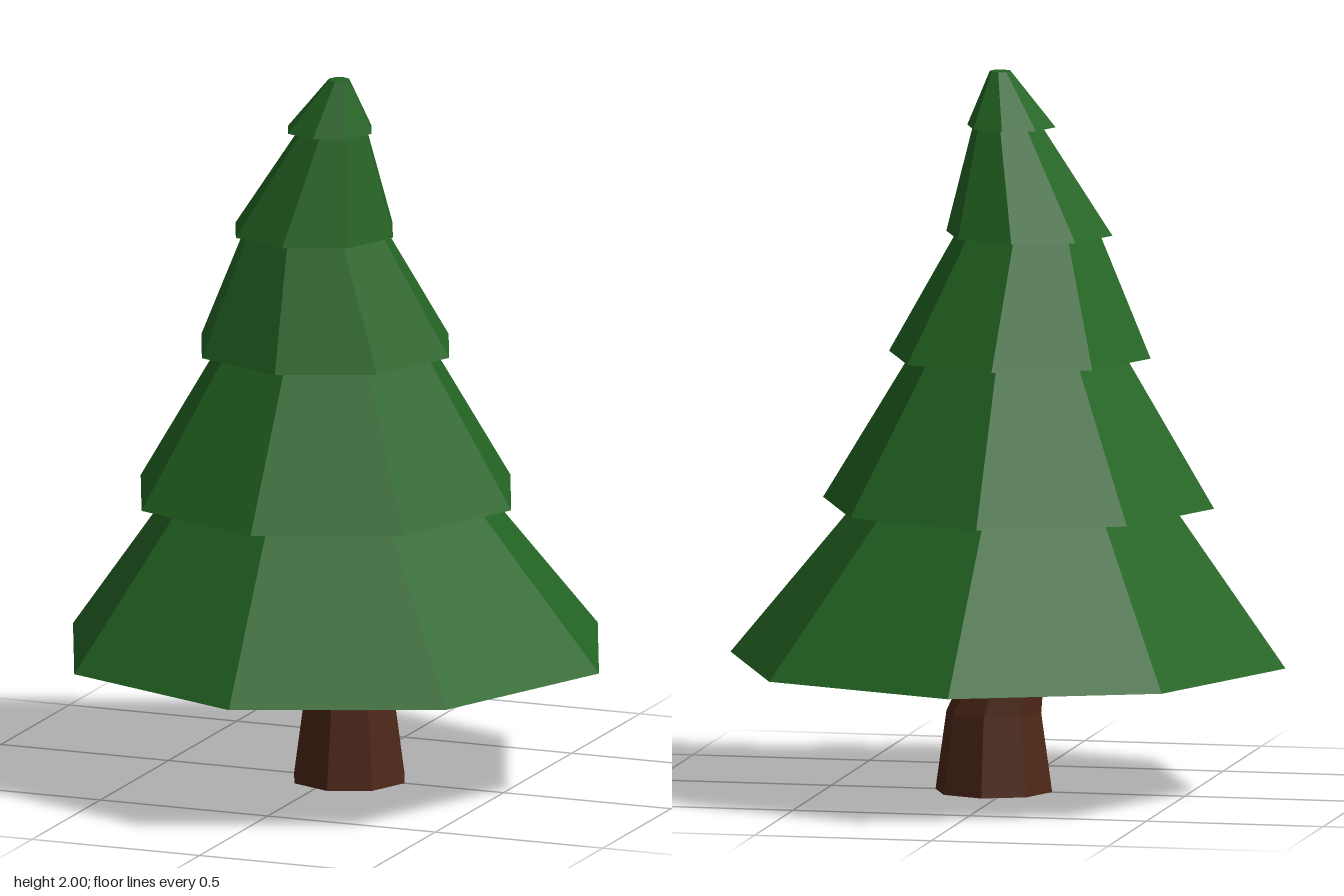
import * as THREE from 'three';

const SIDES = 8;

// Skin a closed, faceted solid over octagonal rings [y, radius, centreX, centreZ], bottom to top.
function loft(rings) {
  const first = rings[0], last = rings[rings.length - 1];
  const all = [
    [first[0], 0, first[2], first[3]],
    ...rings,
    [last[0], 0, last[2], last[3]],
  ];
  const point = ([y, r, x, z], j) => {
    const a = (j / SIDES) * Math.PI * 2;
    return [x + r * Math.sin(a), y, z + r * Math.cos(a)];
  };
  const positions = [];
  for (let i = 0; i < all.length - 1; i++) {
    const low = all[i], high = all[i + 1];
    for (let j = 0; j < SIDES; j++) {
      const a = point(low, j), b = point(low, j + 1);
      const c = point(high, j + 1), d = point(high, j);
      if (low[1] > 0) positions.push(...a, ...b, ...c);
      if (high[1] > 0) positions.push(...a, ...c, ...d);
      else if (low[1] === 0) positions.push(...a, ...c, ...d);
    }
  }
  const geometry = new THREE.BufferGeometry();
  geometry.setAttribute('position', new THREE.Float32BufferAttribute(positions, 3));
  geometry.computeVertexNormals();
  return geometry;
}

function part(name, rings, color) {
  const material = new THREE.MeshStandardMaterial({ color, flatShading: true });
  const mesh = new THREE.Mesh(loft(rings), material);
  mesh.name = name;
  return mesh;
}

export function createModel() {
  const tree = new THREE.Group();
  tree.name = 'pineTree';

  // Bent, tapering trunk
  tree.add(part('trunk', [
    [0, 0.165, 0.04, 0],
    [0.22, 0.134, 0.04, 0],
    [0.365, 0.105, 0, 0],
  ], 0x4d2717));

  // Foliage: each tier is a skirt whose wide rim overhangs the narrower top of the tier below
  tree.add(part('foliage', [
    [0.365, 0.785, 0, 0],
    [0.805, 0.445, -0.025, 0],
    [0.805, 0.553, -0.03, 0],
    [1.22, 0.303, -0.033, -0.005],
    [1.22, 0.37, -0.035, -0.007],
    [1.555, 0.203, -0.053, 0.025],
    [1.555, 0.235, -0.055, 0.025],
    [1.85, 0.098, 0.01, 0.043],
    [1.85, 0.125, 0, 0.045],
    [2, 0.03, 0.035, 0.063],
  ], 0x236423));

  return tree;
}
